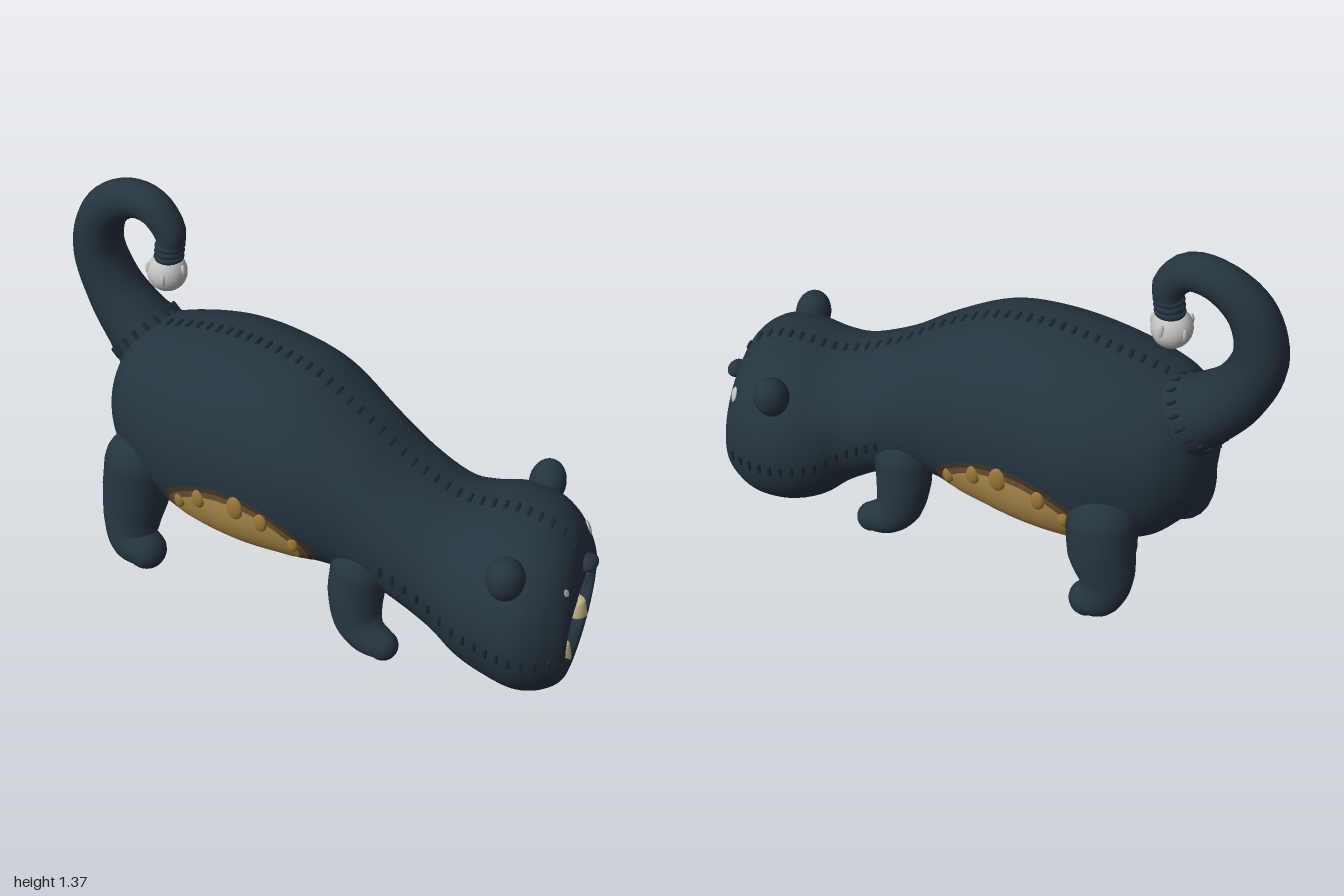
import * as THREE from 'three';
import { mergeGeometries } from 'three/addons/utils/BufferGeometryUtils.js';

const material = (name, color, extra = {}) => {
  const m = new THREE.MeshStandardMaterial({ color, ...extra });
  m.name = name;
  return m;
};

// Body stations from rump to mouth and back into the throat:
// x, top y, bottom y, centre z, half width, yaw shear
const STATIONS = [
  [-0.785, 0.57, 0.57, 0, 0, 0],
  [-0.765, 0.71, 0.43, 0, 0.13, 0],
  [-0.70, 0.83, 0.34, 0, 0.22, 0],
  [-0.60, 0.885, 0.265, 0, 0.285, 0],
  [-0.40, 0.93, 0.215, 0.005, 0.335, 0],
  [-0.20, 0.945, 0.20, 0.025, 0.335, 0],
  [0.00, 0.915, 0.225, 0.045, 0.315, 0],
  [0.20, 0.81, 0.245, 0.065, 0.265, 0],
  [0.35, 0.705, 0.21, 0.065, 0.255, 0.04],
  [0.50, 0.635, 0.13, 0.06, 0.26, 0.1],
  [0.60, 0.62, 0.06, 0.05, 0.3, 0.15],
  [0.70, 0.635, 0.025, 0.04, 0.33, 0.17],
  [0.80, 0.63, 0.01, 0.04, 0.333, 0.17],
  [0.87, 0.60, 0.015, 0.035, 0.305, 0.17],
  [0.92, 0.55, 0.035, 0.03, 0.265, 0.17],
  [0.95, 0.48, 0.075, 0.025, 0.235, 0.17],
  [0.957, 0.42, 0.125, 0.02, 0.21, 0.17],
  [0.94, 0.395, 0.15, 0.02, 0.19, 0.17],
  [0.82, 0.365, 0.17, 0.02, 0.16, 0.17],
  [0.72, 0.27, 0.27, 0.02, 0, 0.17],
];

// Smooth interpolation between stations
function station(s) {
  const n = STATIONS.length - 1;
  const i = Math.min(n - 1, Math.floor(s)), t = s - i;
  const at = k => STATIONS[Math.max(0, Math.min(n, k))];
  return STATIONS[0].map((_, c) => {
    const [a, b, d, e] = [at(i - 1)[c], at(i)[c], at(i + 1)[c], at(i + 2)[c]];
    return b + 0.5 * t * (d - a + t * (2 * a - 5 * b + 4 * d - e + t * (3 * (b - d) + e - a)));
  });
}

// Point on the skin: angle 0 is +z, a quarter turn is up
function skin(s, a, scale = 1) {
  const [x, top, bottom, cz, rz, yaw] = station(s);
  const round = v => Math.sign(v) * Math.abs(v) ** (2 / 2.15);
  const dz = Math.max(0, rz) * round(Math.cos(a)) * scale;
  const dy = Math.max(0, (top - bottom) / 2) * round(Math.sin(a)) * scale;
  return new THREE.Vector3(x + yaw * dz, (top + bottom) / 2 + dy, cz + dz);
}

// Station parameter for an x position on the outer skin
function stationAt(x) {
  let lo = 0, hi = 15;
  for (let k = 0; k < 24; k++) {
    const mid = (lo + hi) / 2;
    if (station(mid)[0] < x) lo = mid; else hi = mid;
  }
  return lo;
}

function bodyGeometry() {
  const rows = (STATIONS.length - 1) * 6, cols = 64, pos = [], index = [];
  for (let i = 0; i <= rows; i++)
    for (let j = 0; j < cols; j++) pos.push(...skin(i / 6, (j / cols) * Math.PI * 2));
  for (let i = 0; i < rows; i++)
    for (let j = 0; j < cols; j++) {
      const k = (j + 1) % cols, a = i * cols + j, b = i * cols + k;
      index.push(a, a + cols, b, b, a + cols, b + cols);
    }
  const g = new THREE.BufferGeometry();
  g.setAttribute('position', new THREE.Float32BufferAttribute(pos, 3));
  g.setIndex(index);
  g.computeVertexNormals();
  return g;
}

// Tube through [x, y, z, radius] points with round ends
function limbGeometry(points) {
  const curve = new THREE.CatmullRomCurve3(points.map(p => new THREE.Vector3(p[0], p[1], p[2])));
  const n = 40, sides = 24, tube = new THREE.TubeGeometry(curve, n, 1, sides);
  const p = tube.attributes.position, v = new THREE.Vector3();
  for (let i = 0; i <= n; i++) {
    const c = curve.getPointAt(i / n), t = curve.getUtoTmapping(i / n) * (points.length - 1);
    const k = Math.min(points.length - 2, Math.floor(t));
    const r = THREE.MathUtils.lerp(points[k][3], points[k + 1][3], t - k);
    for (let j = 0; j <= sides; j++) {
      const id = i * (sides + 1) + j;
      v.fromBufferAttribute(p, id).sub(c).multiplyScalar(r).add(c);
      p.setXYZ(id, v.x, v.y, v.z);
    }
  }
  const ends = [points[0], points[points.length - 1]].map(e =>
    new THREE.SphereGeometry(e[3], 24, 16).translate(e[0], e[1], e[2]));
  return mergeGeometries([tube, ...ends]);
}

export function createModel() {
  const group = new THREE.Group();
  const fur = material('dark slate', 0x25343e, { side: THREE.DoubleSide });
  const thread = material('thread', 0x1c2831);
  const gold = material('gold', 0xb5924f);
  const drip = material('dark gold', 0x9a7637);
  const brown = material('brown', 0x6d5230);
  const darkBrown = material('dark brown', 0x463626);
  const pale = material('pale grey', 0xc2c2c0);
  const cream = material('cream', 0xcdbb8e);
  const add = (name, geometry, mat) => {
    const m = new THREE.Mesh(geometry, mat);
    m.name = name;
    group.add(m);
    return m;
  };
  const blob = (name, mat, [x, y, z], [rx, ry, rz]) => {
    const m = add(name, new THREE.SphereGeometry(1, 28, 20), mat);
    m.position.set(x, y, z);
    m.scale.set(rx, ry, rz);
    return m;
  };

  add('body', bodyGeometry(), fur);

  // Legs
  add('rearLeftLeg', limbGeometry([[-0.6, 0.45, 0.23, 0.12], [-0.61, 0.34, 0.24, 0.12],
    [-0.625, 0.21, 0.26, 0.1], [-0.61, 0.14, 0.28, 0.085], [-0.55, 0.12, 0.295, 0.07]]), fur);
  add('rearRightLeg', limbGeometry([[-0.49, 0.43, -0.27, 0.12], [-0.5, 0.33, -0.285, 0.115],
    [-0.52, 0.21, -0.29, 0.09], [-0.5, 0.14, -0.3, 0.078], [-0.46, 0.11, -0.3, 0.062]]), fur);
  for (const [name, z] of [['frontLeftLeg', 0.26], ['frontRightLeg', -0.13]])
    add(name, limbGeometry([[0.27, 0.35, z, 0.1], [0.265, 0.27, z + Math.sign(z) * 0.015, 0.095],
      [0.28, 0.17, z + Math.sign(z) * 0.03, 0.083], [0.32, 0.12, z + Math.sign(z) * 0.04, 0.068],
      [0.38, 0.092, z + Math.sign(z) * 0.04, 0.052]]), fur);

  // Curled tail with wrapped cord and ball
  add('tail', limbGeometry([[-0.64, 0.72, -0.03, 0.16], [-0.76, 0.81, -0.045, 0.12], [-0.86, 0.92, -0.06, 0.1],
    [-0.914, 1.07, -0.065, 0.088], [-0.87, 1.22, -0.06, 0.077], [-0.76, 1.3, -0.05, 0.066],
    [-0.66, 1.3, -0.035, 0.061], [-0.6, 1.23, -0.03, 0.055], [-0.6, 1.15, -0.025, 0.04]]), fur);
  for (let i = 0; i < 3; i++) {
    const wrap = add('tailWrap', new THREE.TorusGeometry(0.038, 0.013, 10, 28), fur);
    wrap.position.set(-0.6 - i * 0.003, 1.18 - i * 0.022, -0.027);
    wrap.rotation.x = Math.PI / 2;
  }
  blob('tailBall', pale, [-0.615, 1.073, -0.025], [0.068, 0.068, 0.068]);
  for (let i = 0; i < 5; i++) {
    const a = i * 1.25;
    blob('ballDrip', pale, [-0.615 + Math.cos(a) * 0.062, 1.09 - (i % 2) * 0.014, -0.025 + Math.sin(a) * 0.062],
      [0.01, 0.024, 0.01]);
  }

  // Ears, eyes and nose
  blob('leftEar', fur, [0.795, 0.555, 0.285], [0.062, 0.08, 0.068]).rotation.x = 0.35;
  blob('rightEar', fur, [0.715, 0.555, -0.215], [0.062, 0.08, 0.062]).rotation.x = -0.35;
  blob('leftEye', pale, [0.953, 0.47, 0.187], [0.01, 0.03, 0.028]).rotation.set(0, -0.3, 0.25);
  blob('rightEye', pale, [0.892, 0.47, -0.156], [0.01, 0.03, 0.026]).rotation.set(0, 0.55, 0.25);
  blob('nose', fur, [0.958, 0.465, -0.008], [0.03, 0.026, 0.042]);

  // Teeth just inside the lips
  for (const [z, y, up] of [[0.115, 0.365, 1], [-0.085, 0.365, 1], [0.125, 0.185, -1], [-0.09, 0.185, -1]]) {
    const tooth = add('tooth', new THREE.LatheGeometry([[0, -0.035], [0.022, -0.033], [0.031, -0.022],
      [0.04, 0.03], [0.03, 0.04], [0, 0.04]].map(q => new THREE.Vector2(...q)), 20), cream);
    tooth.position.set(0.915 + z * 0.17, y, z);
    if (up < 0) tooth.rotation.x = Math.PI;
  }

  // Oval side patches in three layers, with drips along the upper edge
  for (const side of [1, -1]) {
    const centre = side > 0 ? -0.54 : Math.PI + 0.54;
    const patchPoint = (u, v, lift) => skin(stationAt(-0.17 + u * 0.295), centre + v * 0.53, lift);
    [['patchBorder', darkBrown, 1, 1.008], ['patchBand', brown, 0.92, 1.014], ['patchCentre', gold, 0.82, 1.02]]
      .forEach(([name, mat, size, lift]) => {
        const g = new THREE.RingGeometry(0.001, size, 56, 10), p = g.attributes.position;
        for (let i = 0; i < p.count; i++) p.setXYZ(i, ...patchPoint(p.getX(i), p.getY(i), lift));
        g.computeVertexNormals();
        add(name, g, mat);
      });
    for (const [u, v, r] of [[-0.7, 0.38, 0.02], [-0.4, 0.68, 0.024], [0.1, 0.8, 0.03], [0.42, 0.66, 0.024], [0.78, 0.3, 0.02]]) {
      const at = patchPoint(u, side * v * side, 1.015);
      // on the far side the angle runs the other way
      const q = side > 0 ? at : patchPoint(u, -v, 1.015);
      blob('patchDrip', drip, q.toArray(), [r, r * 1.5, 0.014]);
    }
  }

  // Stitches
  const stitches = [];
  const stitch = (at, along, length) => {
    const g = new THREE.CapsuleGeometry(0.0075, length, 3, 6);
    g.applyQuaternion(new THREE.Quaternion().setFromUnitVectors(new THREE.Vector3(0, 1, 0), along.clone().normalize()));
    stitches.push(g.translate(at.x, at.y, at.z));
  };
  const seam = (from, to, angle) => {
    for (let x = from; x <= to; x += 0.04) {
      const s = stationAt(x);
      stitch(skin(s, angle), skin(s, angle + 0.06).sub(skin(s, angle - 0.06)), 0.03);
    }
  };
  seam(-0.6, 0.94, Math.PI / 2);
  seam(-0.5, 0.94, -Math.PI / 2);
  seam(0.36, 0.93, -0.08);
  seam(0.36, 0.93, Math.PI + 0.08);
  // Ring of stitches at the tail root
  const axis = new THREE.Vector3(-0.75, 0.65, -0.1).normalize();
  const across = new THREE.Vector3(0.65, 0.75, 0).normalize();
  for (let i = 0; i < 18; i++) {
    const out = across.clone().applyAxisAngle(axis, (i / 18) * Math.PI * 2);
    stitch(new THREE.Vector3(-0.725, 0.785, -0.04).addScaledVector(out, 0.131), axis, 0.03);
  }
  add('stitches', mergeGeometries(stitches), thread);

  return group;
}
